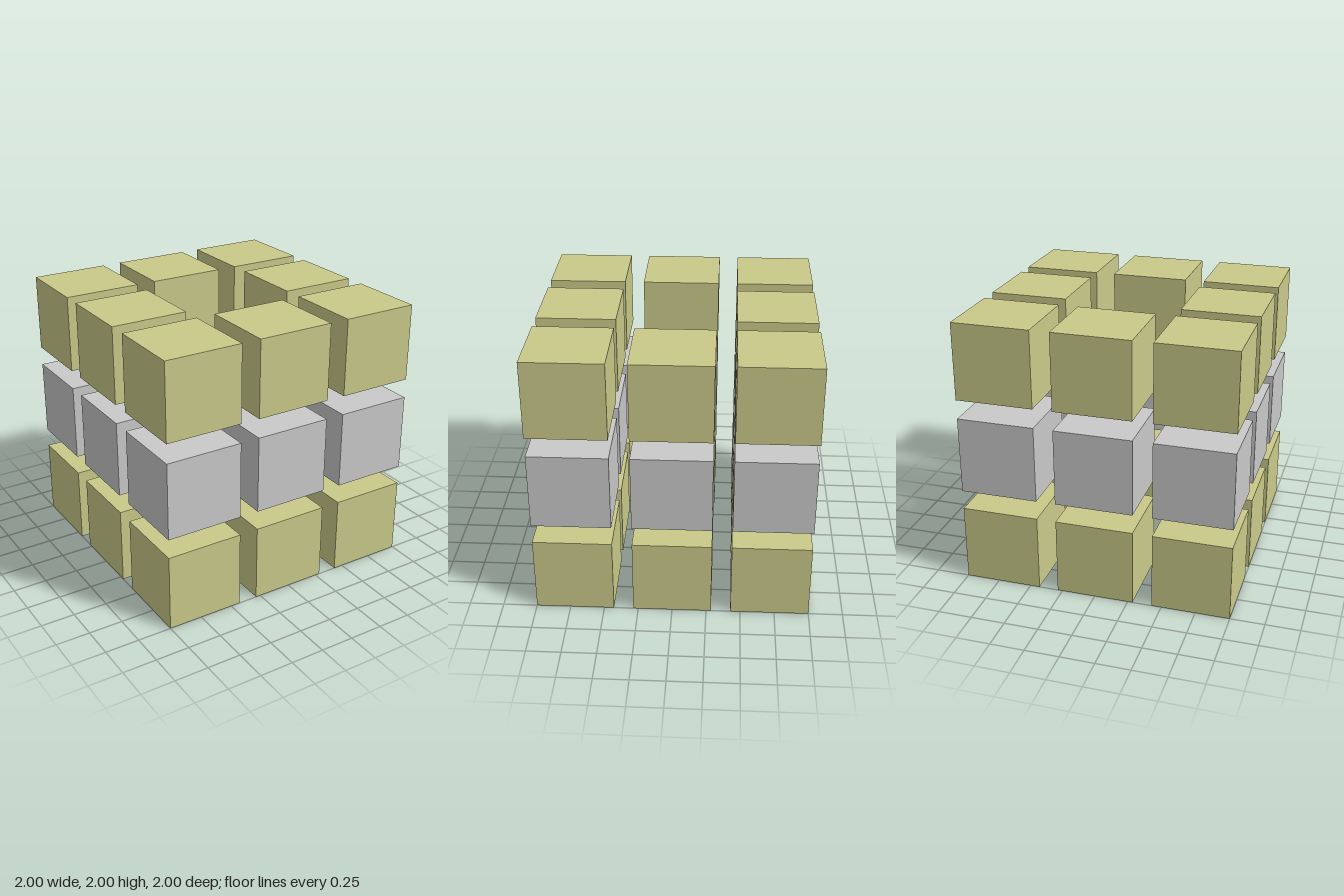
import * as THREE from 'three';

export function createModel() {
  const model = new THREE.Group();
  model.name = 'cubeLattice';

  const olive = new THREE.MeshStandardMaterial({ color: 0xcaca8a });
  olive.name = 'paleOlive';
  const grey = new THREE.MeshStandardMaterial({ color: 0xc9c9c9 });
  grey.name = 'lightGrey';

  const size = 4 / 7;    // cube edge
  const pitch = 5 / 7;   // centre-to-centre spacing
  const cube = new THREE.BoxGeometry(size, size, size);

  // Three stacked rings of eight cubes around an open central shaft
  const layers = [
    ['bottomLayer', olive],
    ['middleLayer', grey],
    ['topLayer', olive],
  ];
  layers.forEach(([name, material], level) => {
    const layer = new THREE.Group();
    layer.name = name;
    layer.position.y = size / 2 + level * pitch;
    for (let i = -1; i <= 1; i++) {
      for (let k = -1; k <= 1; k++) {
        if (i === 0 && k === 0) continue;
        const mesh = new THREE.Mesh(cube, material);
        mesh.name = 'cube';
        mesh.position.set(i * pitch, 0, k * pitch);
        layer.add(mesh);
      }
    }
    model.add(layer);
  });

  return model;
}
